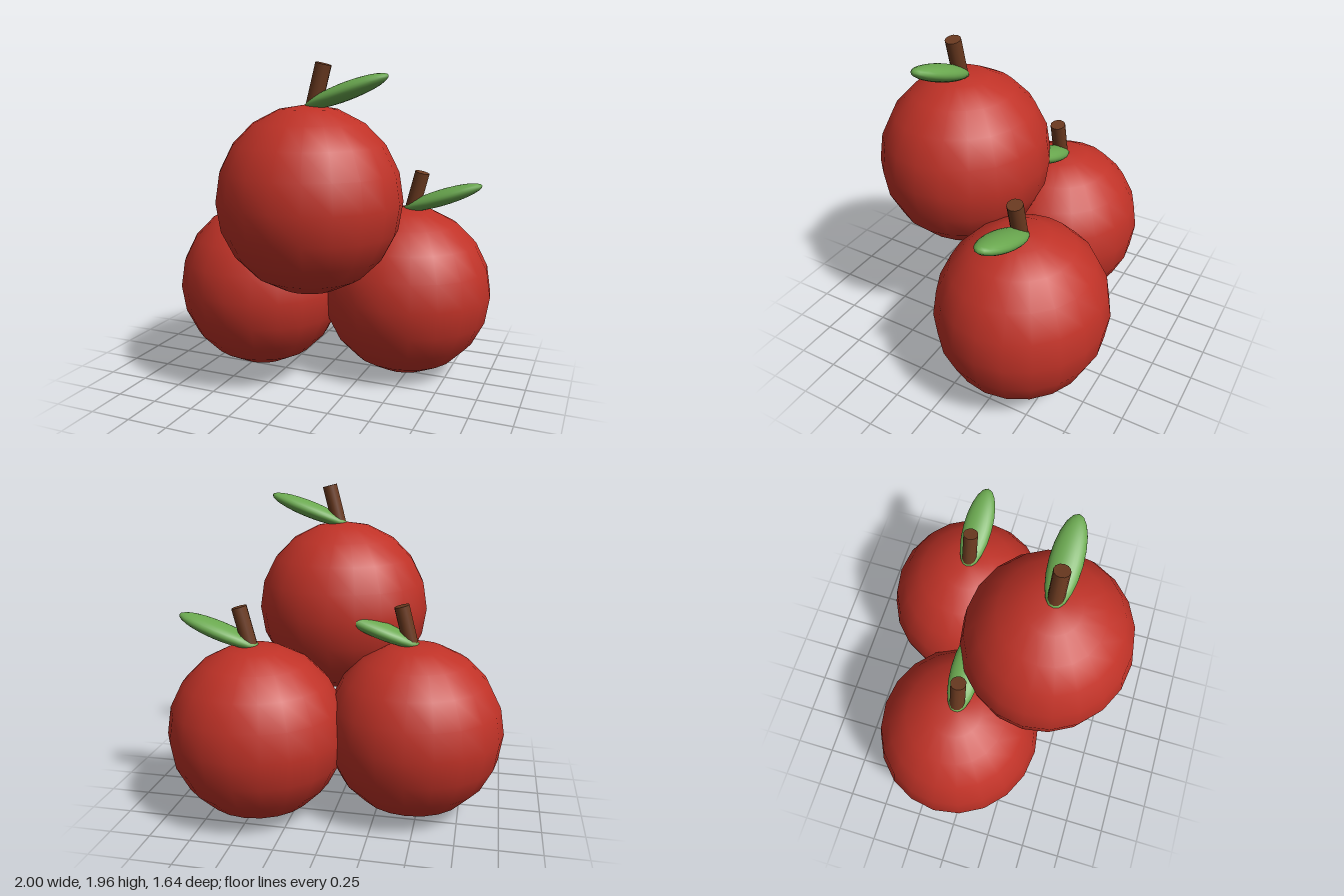
import * as THREE from 'three';

const red = new THREE.MeshStandardMaterial({ name: 'fruitRed', color: 0xc03227 });
const brown = new THREE.MeshStandardMaterial({ name: 'stemBrown', color: 0x6b3a20 });
const green = new THREE.MeshStandardMaterial({ name: 'leafGreen', color: 0x6aa84f });

const skinGeometry = new THREE.SphereGeometry(0.538, 20, 10);
const stemGeometry = new THREE.CylinderGeometry(0.046, 0.046, 0.32, 12);
const leafGeometry = new THREE.SphereGeometry(1, 20, 14);

function part(name, geometry, material, parent) {
  const mesh = new THREE.Mesh(geometry, material);
  mesh.name = name;
  parent.add(mesh);
  return mesh;
}

// One fruit, centred on its round body
function createFruit(name, x, y, z) {
  const fruit = new THREE.Group();
  fruit.name = name;
  fruit.position.set(x, y, z);

  // Body, slightly narrower front to back
  part('skin', skinGeometry, red, fruit).scale.z = 0.95;

  // Stem leaning to the side
  const stem = part('stem', stemGeometry, brown, fruit);
  stem.position.set(0.05, 0.602, 0);
  stem.rotation.z = -0.25;

  // Plump leaf rising away from the stem
  const leaf = part('leaf', leafGeometry, green, fruit);
  leaf.position.set(0.218, 0.608, 0);
  leaf.scale.set(0.258, 0.05, 0.092);
  leaf.rotation.z = 0.35;
  return fruit;
}

export function createModel() {
  const model = new THREE.Group();
  model.name = 'fruitPile';
  model.add(
    createFruit('rightFruit', -0.462, 0.54, -0.1),
    createFruit('leftFruit', 0.46, 0.54, -0.312),
    createFruit('topFruit', 0.055, 1.193, 0.307),
  );
  return model;
}
